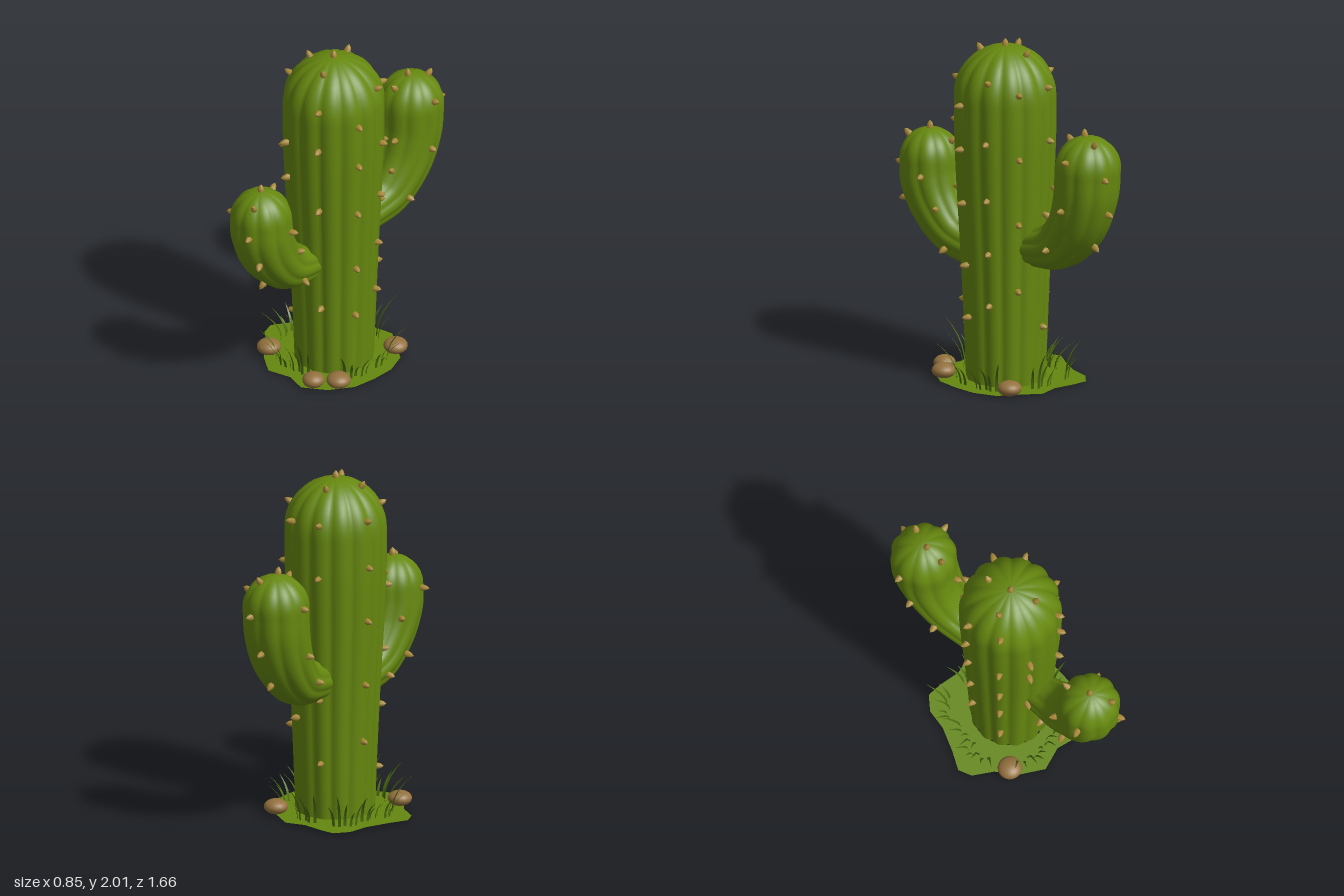
import * as THREE from 'three';

const mat = (name, color, side = THREE.FrontSide) => {
  const m = new THREE.MeshStandardMaterial({ color, side });
  m.name = name;
  return m;
};

// Fluted limb swept in the y-z plane with a hemispherical tip.
// stations: [radius, y, z] from the root to the centre of the tip dome.
function makeLimb(x0, stations, ribs) {
  const curve = new THREE.CatmullRomCurve3(stations.map(s => new THREE.Vector3(...s)));
  const BODY = 36, DOME = 12, SEG = ribs * 8;
  const positions = [], index = [], axis = [];
  const addRing = (y, z, r, ty, tz, depth) => {
    for (let j = 0; j < SEG; j++) {
      const a = (j / SEG) * Math.PI * 2;
      const q = r * (1 - depth + depth * Math.abs(Math.sin(a * ribs / 2)) * 1.4);
      positions.push(x0 + q * Math.sin(a), y - q * Math.cos(a) * tz, z + q * Math.cos(a) * ty);
    }
  };
  let ty = 1, tz = 0, end;
  for (let i = 0; i <= BODY; i++) {
    const p = curve.getPoint(i / BODY), t = curve.getTangent(i / BODY);
    const len = Math.hypot(t.y, t.z);
    ty = t.y / len;
    tz = t.z / len;
    addRing(p.y, p.z, p.x, ty, tz, 0.045);
    axis.push({ r: p.x, y: p.y, z: p.z });
    end = p;
  }
  for (let i = 1; i <= DOME; i++) {
    const a = (i / DOME) * Math.PI / 2, h = end.x * Math.sin(a);
    addRing(end.y + ty * h, end.z + tz * h, Math.max(end.x * Math.cos(a), 0.0005), ty, tz, 0.045);
  }
  for (let i = 0; i < BODY + DOME; i++) {
    for (let j = 0; j < SEG; j++) {
      const k = (j + 1) % SEG, a = i * SEG + j, b = i * SEG + k;
      index.push(a, b, b + SEG, a, b + SEG, a + SEG);
    }
  }
  const geometry = new THREE.BufferGeometry();
  geometry.setAttribute('position', new THREE.Float32BufferAttribute(positions, 3));
  geometry.setIndex(index);
  geometry.computeVertexNormals();
  return { geometry, axis, x0 };
}

// Curved, tapering grass blade leaning along +x
function makeBlade(height, lean, width) {
  const positions = [], index = [], N = 5;
  for (let i = 0; i <= N; i++) {
    const t = i / N, w = width * (1 - t) * (0.7 + t) * 0.6 + 0.0005;
    const x = lean * t * t, y = height * (t - 0.12 * t * t) / 0.88;
    positions.push(x, y, -w, x, y, w);
    if (i < N) {
      const a = i * 2;
      index.push(a, a + 1, a + 3, a, a + 3, a + 2);
    }
  }
  const g = new THREE.BufferGeometry();
  g.setAttribute('position', new THREE.Float32BufferAttribute(positions, 3));
  g.setIndex(index);
  g.computeVertexNormals();
  return g;
}

export function createModel() {
  const model = new THREE.Group();
  model.name = 'cactus';
  const skin = mat('cactus green', 0x66880f, THREE.DoubleSide);
  const turf = mat('ground green', 0x64880f, THREE.DoubleSide);
  const grass = mat('grass green', 0x4c6e10, THREE.DoubleSide);
  const thorn = mat('spine tan', 0xa98a38);
  const stone = mat('stone brown', 0x94713f);
  const add = (name, geometry, material, parent = model) => {
    const m = new THREE.Mesh(geometry, material);
    m.name = name;
    parent.add(m);
    return m;
  };

  // Trunk and two upturned arms
  const trunk = makeLimb(0.025, [
    [0.222, 0, 0.03], [0.235, 0.35, 0.03], [0.252, 0.75, 0.032],
    [0.272, 1.15, 0.035], [0.284, 1.45, 0.035], [0.285, 1.682, 0.035],
  ], 14);
  const frontArm = makeLimb(0.017, [
    [0.1, 0.71, 0.15], [0.114, 0.717, 0.29], [0.14, 0.775, 0.44],
    [0.165, 0.92, 0.565], [0.176, 1.06, 0.62], [0.172, 1.17, 0.628],
  ], 10);
  const backArm = makeLimb(0.022, [
    [0.105, 0.82, -0.1], [0.12, 0.835, -0.24], [0.145, 0.89, -0.4],
    [0.17, 1.04, -0.53], [0.183, 1.22, -0.595], [0.186, 1.385, -0.608],
  ], 10);
  add('trunk', trunk.geometry, skin);
  add('frontArm', frontArm.geometry, skin);
  add('backArm', backArm.geometry, skin);

  // Spines: short blunt thorns standing off the surface
  const spines = new THREE.Group();
  spines.name = 'spines';
  model.add(spines);
  const spineGeo = new THREE.LatheGeometry([[0.016, -0.02], [0.02, 0.008], [0.014, 0.03], [0, 0.046]]
    .map(p => new THREE.Vector2(...p)), 6);
  const up = new THREE.Vector3(0, 1, 0);
  const place = (c, r, dir) => {
    const s = add('spine', spineGeo, thorn, spines);
    s.position.copy(c).addScaledVector(dir, r * 0.99);
    s.quaternion.setFromUnitVectors(up, dir);
  };
  // Trunk spine at an angle in degrees (0 = front, 90 = left) and a height
  const trunkSpine = (deg, y) => {
    const near = trunk.axis.reduce((a, b) => Math.abs(b.y - y) < Math.abs(a.y - y) ? b : a);
    const cy = Math.min(y, 1.682), el = Math.asin(Math.min(1, (y - cy) / near.r)), a = deg * Math.PI / 180;
    place(new THREE.Vector3(trunk.x0, cy, near.z), near.r,
      new THREE.Vector3(Math.sin(a) * Math.cos(el), Math.sin(el), Math.cos(a) * Math.cos(el)));
  };
  const rows = [
    [72, [1.65, 1.39, 1.07, 0.7, 0.39]],
    [112, [1.81, 1.46, 1.12, 0.8, 0.49]],
    [-62, [1.82, 1.34, 0.96, 0.63, 0.26]],
    [-108, [1.77, 1.5, 1.18, 0.8, 0.46]],
    [25, [1.75, 1.5, 1.1, 0.44]],
    [-27, [1.46, 1.23, 0.74]],
    [150, [1.75, 1.37, 0.98, 0.58]],
    [192, [1.76, 1.45, 0.72, 0.34]],
    [20, [1.925]], [-75, [1.925]], [190, [1.93]], [0, [1.967]],
  ];
  for (const [deg, heights] of rows) heights.forEach(y => trunkSpine(deg, y));
  // Arm spine seen at (z, y) in profile, on the side given by the sign of x
  const armSpine = (arm, z, y, side) => {
    const dist = p => Math.hypot(p.z - z, p.y - y);
    const c = arm.axis.reduce((a, b) => dist(b) < dist(a) ? b : a), d = dist(c);
    const x = d < c.r ? side * Math.sqrt(c.r * c.r - d * d) : 0;
    place(new THREE.Vector3(arm.x0, c.y, c.z), c.r,
      new THREE.Vector3(x, y - c.y, z - c.z).normalize());
  };
  const frontSpines = [
    [0.63, 1.342, 1], [0.74, 1.29, 1], [0.5, 1.28, -1], [0.79, 1.12, 1], [0.735, 0.93, 1],
    [0.61, 0.72, -1], [0.55, 1.1, 1], [0.46, 0.92, 1], [0.4, 0.7, 1],
    [0.68, 1.16, -1], [0.55, 0.8, -1], [0.5, 1.02, -1], [0.38, 0.72, -1],
  ];
  const backSpines = [
    [-0.585, 1.57, 1], [-0.7, 1.54, 1], [-0.48, 1.52, -1], [-0.785, 1.36, 1], [-0.77, 1.14, 1],
    [-0.67, 0.92, 1], [-0.61, 1.45, 1], [-0.58, 1.16, 1], [-0.43, 0.89, 1],
    [-0.42, 1.23, 1], [-0.37, 1.06, 1], [-0.62, 1.4, -1], [-0.55, 1.1, -1], [-0.4, 0.9, -1],
  ];
  frontSpines.forEach(s => armSpine(frontArm, ...s));
  backSpines.forEach(s => armSpine(backArm, ...s));

  // Irregular ground patch with an opening under the trunk
  const outline = [
    [-0.21, -0.37], [-0.28, -0.3], [-0.31, -0.18], [-0.38, -0.05], [-0.445, 0.05], [-0.42, 0.13],
    [-0.32, 0.21], [-0.24, 0.33], [-0.12, 0.42], [0.02, 0.39], [0.14, 0.43], [0.27, 0.35],
    [0.36, 0.22], [0.38, 0.08], [0.38, -0.06], [0.33, -0.19], [0.22, -0.27], [0.12, -0.35],
    [0, -0.33], [-0.12, -0.36],
  ];
  const patch = new THREE.Shape(outline.map(([x, z]) => new THREE.Vector2(x, -z)));
  patch.holes.push(new THREE.Path().absarc(0.025, -0.03, 0.22, 0, Math.PI * 2, true));
  const ground = add('groundPatch', new THREE.ShapeGeometry(patch, 24), turf);
  ground.rotation.x = -Math.PI / 2;
  ground.position.y = 0.008;

  // Stones
  const stoneGeo = new THREE.SphereGeometry(1, 20, 14);
  for (const [x, z, r] of [[-0.255, 0.27, 0.069], [0.26, -0.225, 0.069], [0.28, 0.27, 0.069], [0.175, 0.365, 0.063]]) {
    const s = add('stone', stoneGeo, stone);
    s.scale.set(r, 0.043, r);
    s.position.set(x, 0.045, z);
  }

  // Grass tufts fanning outwards: [x, z, tallest blade]
  const tufts = [
    [-0.32, 0.08, 0.2], [-0.27, -0.05, 0.18], [-0.21, -0.24, 0.22], [-0.14, 0.32, 0.2],
    [0.02, 0.33, 0.27], [0.31, -0.08, 0.2], [0.3, 0.14, 0.2], [0.04, -0.28, 0.24],
  ];
  tufts.forEach(([x, z, h], i) => {
    const tuft = new THREE.Group();
    tuft.name = 'grassTuft';
    tuft.position.set(x, 0.008, z);
    tuft.rotation.y = Math.atan2(-z, x);
    model.add(tuft);
    for (let k = 0; k < 5; k++) {
      const size = [1, 0.62, 0.8, 0.45, 0.7][(k + i) % 5];
      const b = add('grassBlade', makeBlade(h * size, 0.12 * size, 0.018), grass, tuft);
      b.position.set(-0.02 + 0.015 * (k % 2), 0, (k - 2) * 0.032);
      b.rotation.y = -(k - 2) * 0.3;
    }
  });
  return model;
}
